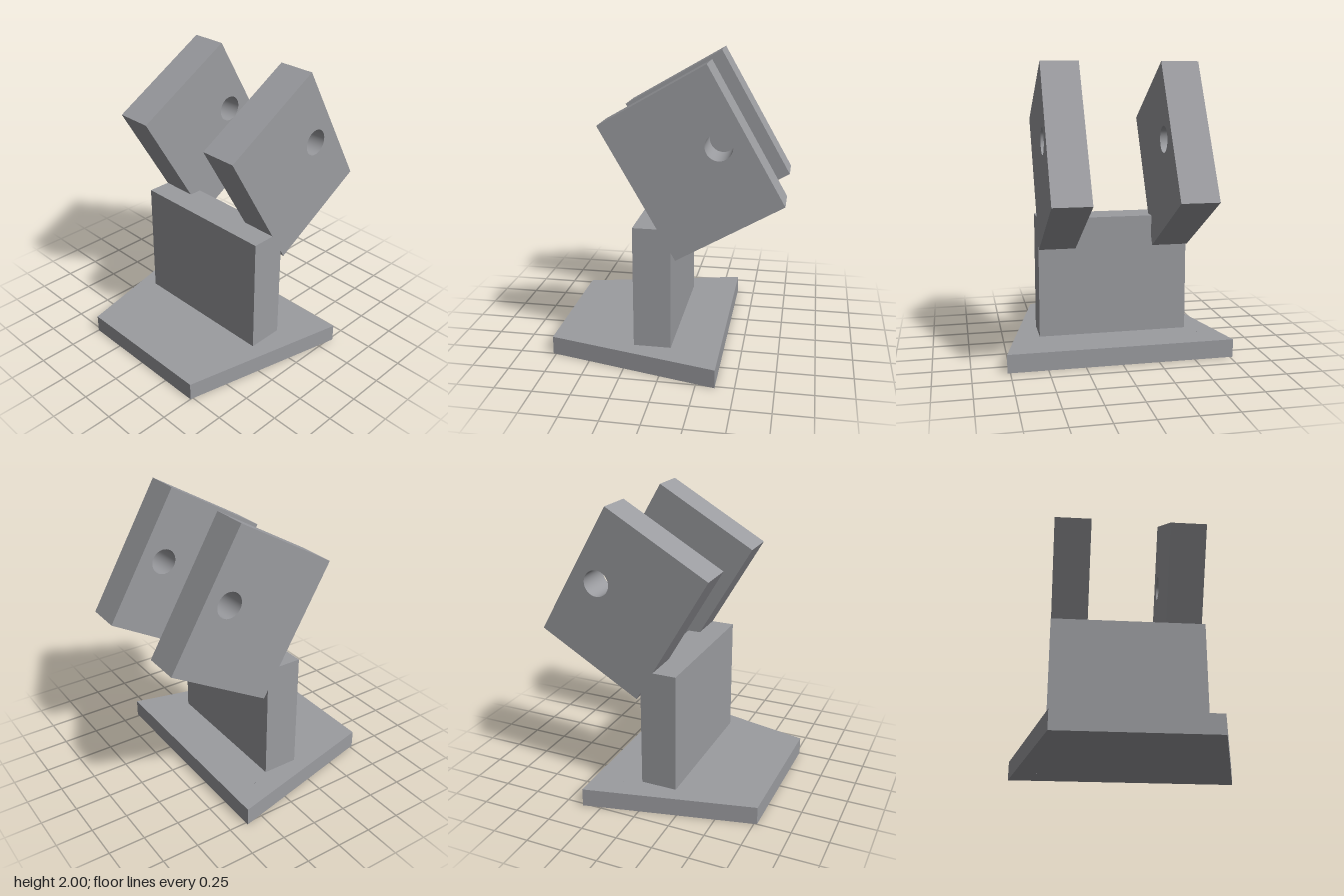
import * as THREE from 'three';
import { toCreasedNormals } from 'three/addons/utils/BufferGeometryUtils.js';

// Flat slab from an outline with round through-holes [x, y, radius]
function slab(outline, holes, depth) {
  const shape = new THREE.Shape(outline.map(([x, y]) => new THREE.Vector2(x, y)));
  for (const [x, y, r] of holes) {
    shape.holes.push(new THREE.Path().absarc(x, y, r, 0, Math.PI * 2, true));
  }
  return new THREE.ExtrudeGeometry(shape, { depth, bevelEnabled: false, curveSegments: 24 });
}

export function createModel() {
  const model = new THREE.Group();
  model.name = 'clevisBracket';
  const grey = new THREE.MeshStandardMaterial({ color: 0x9b9ca0 });
  grey.name = 'plain grey';

  const add = (name, geometry) => {
    const mesh = new THREE.Mesh(toCreasedNormals(geometry, 0.6), grey);
    mesh.name = name;
    model.add(mesh);
    return mesh;
  };

  // Trapezoid base plate with three screw holes (shape y is -z)
  const base = slab(
    [[-0.5, -0.77], [0.5, -0.77], [0.77, 0.375], [-0.77, 0.375]],
    [[0, -0.57, 0.076], [-0.5, 0.18, 0.076], [0.5, 0.18, 0.076]],
    0.125
  );
  base.rotateX(-Math.PI / 2);
  add('basePlate', base);

  // Upright block
  const upright = new THREE.BoxGeometry(1.04, 0.825, 0.25);
  upright.translate(0, 0.5375, 0.075);
  add('upright', upright);

  // Pair of tilted square cheeks with a pin hole (shape x is -z)
  for (const [name, x] of [['leftCheek', 0.27], ['rightCheek', -0.52]]) {
    const cheek = slab(
      [[0.27, 2], [-0.415, 1.605], [0.08, 0.745], [0.765, 1.14]],
      [[0.35, 1.5, 0.088]],
      0.25
    );
    cheek.rotateY(Math.PI / 2);
    add(name, cheek).position.x = x;
  }
  return model;
}
